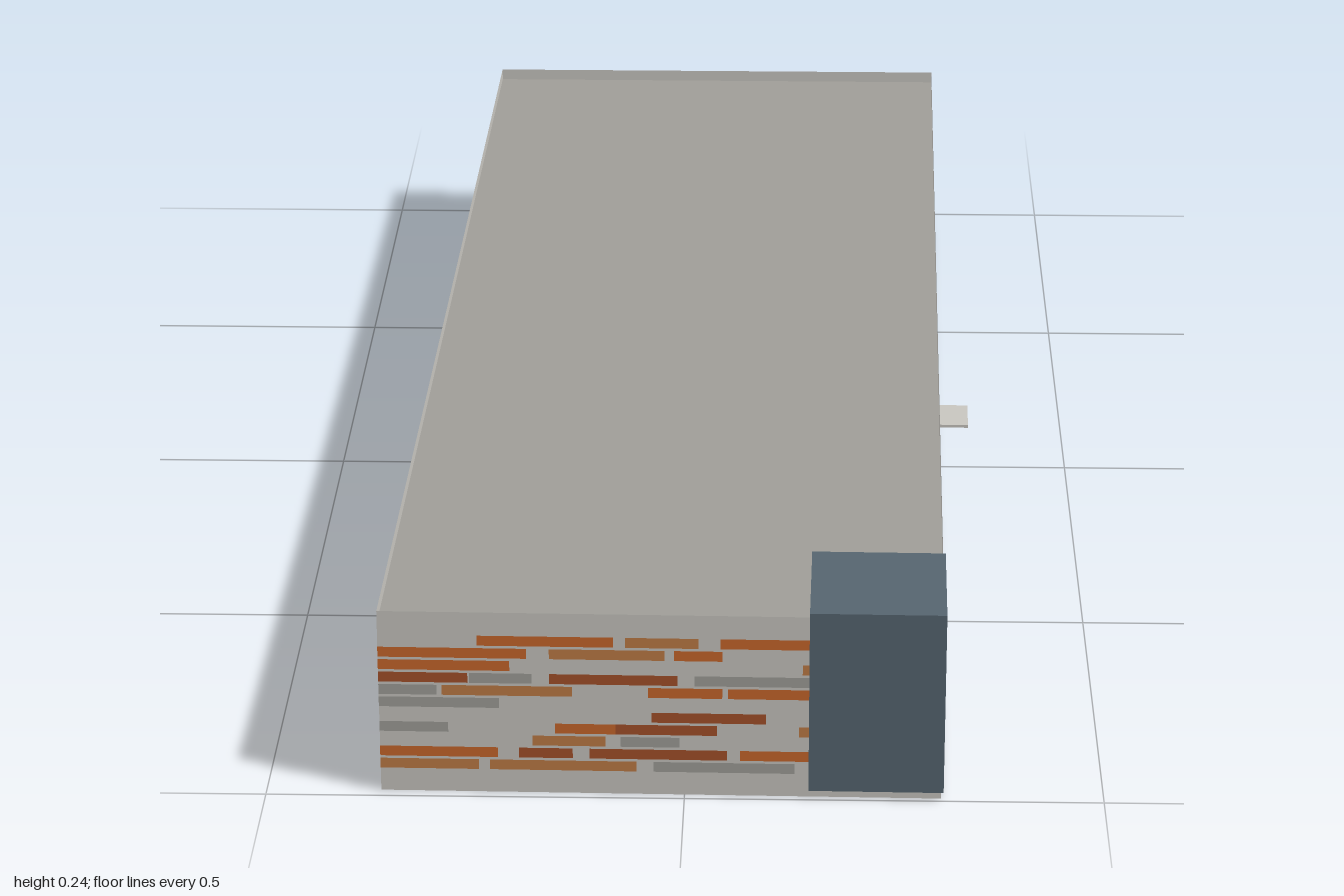
import * as THREE from 'three';
import { mergeGeometries } from 'three/addons/utils/BufferGeometryUtils.js';

const mat = (name, color, side = THREE.FrontSide) =>
  Object.assign(new THREE.MeshStandardMaterial({ color, side }), { name });

// Footprint corners (x, z): front left, front right, back right, back left
const CORNERS = [[-0.363, 0.985], [0.306, 0.993], [0.333, -1], [-0.337, -1]];
const HEIGHT = 0.236, ROOF_Y = 0.22;
const ROWS = 11, ROW_TOP = 0.2, ROW_STEP = 0.0163, BAND_H = 0.013;

// Front bands, top row first: colour letter, start and end in x
const FRONT = [
  'O -.245 -.084,T -.07 .017,O .043 .16',
  'O -.363 -.187,T -.16 -.023,O -.012 .045',
  'O -.363 -.207,T .14 .16',
  'R -.363 -.257,G -.255 -.181,R -.16 -.008,G .012 .16',
  'G -.363 -.294,T -.288 -.133,O -.043 .045,O .052 .16',
  'G -.363 -.22',
  'R -.039 .097',
  'G -.363 -.281,O -.154 -.082,R -.082 .039,T .136 .16',
  'T -.181 -.094,G -.076 -.006',
  'O -.363 -.222,R -.197 -.133,R -.113 .051,O .066 .16',
  'T -.363 -.245,T -.232 -.057,G -.037 .131',
];

function random(seed) {
  return () => {
    seed = (seed * 16807) % 2147483647;
    return seed / 2147483647;
  };
}

// Scattered bands [row, letter, start, end] along a wall of a given length
function scatter(length, seed) {
  const rnd = random(seed), bands = [];
  for (let row = 0; row < ROWS; row++) {
    let x = rnd() < 0.5 ? 0 : rnd() * 0.1;
    while (x < length - 0.02) {
      const end = Math.min(length, x + 0.05 + rnd() * 0.13);
      bands.push([row, 'OOTTRRGG'[Math.floor(rnd() * 8)], x, end]);
      x = end + (rnd() < 0.35 ? 0.06 + rnd() * 0.14 : 0.004 + rnd() * 0.03);
    }
  }
  return bands;
}

function frontBands() {
  return FRONT.flatMap((line, row) => line.split(',').map((part) => {
    const [letter, a, b] = part.split(' ');
    return [row, letter, +a + 0.363, +b + 0.363];
  }));
}

export function createModel() {
  const model = new THREE.Group();
  model.name = 'warehouse';
  const wallMat = mat('pale wall', 0xc8c6c0, THREE.DoubleSide);
  const roofMat = mat('grey roof', 0xa09e98, THREE.DoubleSide);
  const blueMat = mat('slate blue', 0x566570);
  const bandMats = {
    O: mat('orange', 0xc8672b),
    T: mat('tan orange', 0xbf7b45),
    R: mat('rust', 0xa4502a),
    G: mat('band grey', 0xa09e99),
  };

  const add = (parent, name, geometry, material, x = 0, y = 0, z = 0) => {
    const mesh = new THREE.Mesh(geometry, material);
    mesh.name = name;
    mesh.position.set(x, y, z);
    parent.add(mesh);
    return mesh;
  };

  // Walls: local x runs along the wall, local z points outward
  const walls = ['front', 'right', 'back', 'left'].map((side, i) => {
    const [ax, az] = CORNERS[i], [bx, bz] = CORNERS[(i + 1) % 4];
    const length = Math.hypot(bx - ax, bz - az);
    const wall = new THREE.Group();
    wall.name = side + 'Wall';
    wall.position.set(ax, 0, az);
    wall.rotation.y = -Math.atan2(bz - az, bx - ax);
    model.add(wall);
    add(wall, side + 'WallPanel', new THREE.PlaneGeometry(length, HEIGHT), wallMat, length / 2, HEIGHT / 2);

    // Coloured cladding bands, merged per colour
    const bands = i === 0 ? frontBands() : scatter(length, 1234 + i * 771);
    for (const letter of Object.keys(bandMats)) {
      const plates = bands.filter((b) => b[1] === letter).map(([row, , a, b]) =>
        new THREE.PlaneGeometry(b - a, BAND_H).translate((a + b) / 2, ROW_TOP - row * ROW_STEP, 0.0015));
      if (plates.length) {
        add(wall, `${side}Bands ${bandMats[letter].name}`, mergeGeometries(plates), bandMats[letter]);
      }
    }
    return wall;
  });

  // Recessed flat roof
  const outline = new THREE.Shape(CORNERS.map(([x, z]) => new THREE.Vector2(x, -z)));
  add(model, 'roof', new THREE.ShapeGeometry(outline).rotateX(-Math.PI / 2), roofMat, 0, ROOF_Y);

  // Corner office block
  const block = add(model, 'cornerBlock', new THREE.BoxGeometry(0.161, 0.233, 0.176), blueMat, 0.2295, 0.1275, 0.911);
  block.rotation.y = -0.013;

  // Side entrance: door and canopy halfway along the right wall
  add(walls[1], 'sideDoor', new THREE.BoxGeometry(0.048, 0.058, 0.008), blueMat, 0.993, 0.042, 0.003);
  add(walls[1], 'doorCanopy', new THREE.BoxGeometry(0.07, 0.004, 0.046), wallMat, 0.993, 0.076, 0.022);

  return model;
}
